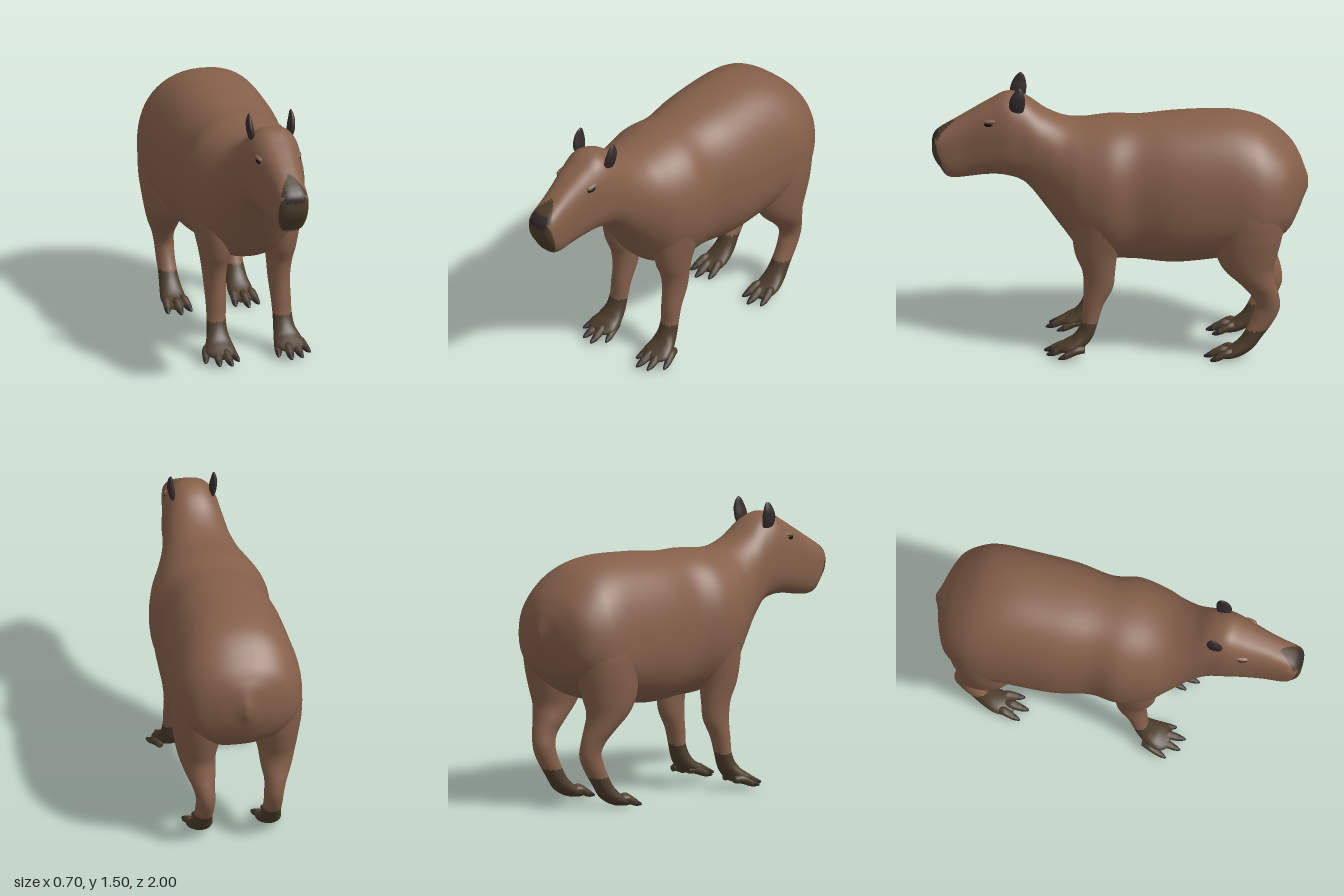
import * as THREE from 'three';

const mat = (name, color) => Object.assign(new THREE.MeshStandardMaterial({ color }), { name });

// Smooth interpolation through rows of numbers
function refine(rows, steps) {
  const out = [], n = rows.length - 1;
  for (let i = 0; i < n; i++) {
    const [a, b, c, d] = [rows[Math.max(i - 1, 0)], rows[i], rows[i + 1], rows[Math.min(i + 2, n)]];
    for (let k = 0; k < steps; k++) {
      const t = k / steps;
      out.push(b.map((p, j) => p + 0.5 * t * (c[j] - a[j] +
        t * (2 * a[j] - 5 * p + 4 * c[j] - d[j] + t * (3 * (p - c[j]) + d[j] - a[j])))));
    }
  }
  out.push(rows[n]);
  return out;
}

// Closed skin over a list of rings; pick(x, y, z) chooses the material of each face
function loft(rings, materials, pick = () => 0) {
  const n = rings[0].length, pts = rings.flat(), sets = materials.map(() => []);
  const add = (...f) => {
    const m = [0, 1, 2].map(k => f.reduce((s, i) => s + pts[i][k], 0) / 3);
    sets[pick(...m)].push(...f);
  };
  const centre = ring => [0, 1, 2].map(k => ring.reduce((s, p) => s + p[k], 0) / n);
  const last = (rings.length - 1) * n;
  pts.push(centre(rings[0]), centre(rings[rings.length - 1]));
  for (let j = 0; j < n; j++) {
    const k = (j + 1) % n;
    add(pts.length - 2, k, j);
    add(pts.length - 1, last + j, last + k);
    for (let i = 0; i < last; i += n) {
      add(i + j, i + k, i + n + j);
      add(i + k, i + n + k, i + n + j);
    }
  }
  const g = new THREE.BufferGeometry();
  g.setAttribute('position', new THREE.Float32BufferAttribute(pts.flat(), 3));
  g.setIndex(sets.flat());
  let start = 0;
  sets.forEach((s, i) => { g.addGroup(start, s.length, i); start += s.length; });
  g.computeVertexNormals();
  return new THREE.Mesh(g, materials);
}

// Elliptical limb; rows are [y, x, z, radiusX, radiusZ, tilt in degrees], running downward or forward
function limb(side, rows, materials, pick, segs = 24) {
  const rings = refine(rows, 5).map(([y, x, z, rx, rz, tilt]) => {
    const a = THREE.MathUtils.degToRad(tilt);
    return Array.from({ length: segs }, (_, j) => {
      const t = j / segs * Math.PI * 2, s = Math.sin(t) * rz;
      return [side * x + rx * Math.cos(t), y + s * Math.sin(a), z + s * Math.cos(a)];
    });
  });
  return loft(rings, materials, pick);
}

// Body and head stations: [z, bottom, top, half width, height of widest point, roundness]
const BODY = [
  [-1, 0.92, 0.98, 0.012, 0.95, 1], [-0.975, 0.86, 1.05, 0.07, 0.95, 0.95],
  [-0.95, 0.8, 1.1, 0.16, 0.94, 0.9], [-0.9, 0.71, 1.17, 0.265, 0.92, 0.87],
  [-0.8, 0.63, 1.26, 0.33, 0.89, 0.87], [-0.7, 0.58, 1.31, 0.35, 0.87, 0.87],
  [-0.55, 0.55, 1.335, 0.345, 0.87, 0.87], [-0.3, 0.515, 1.325, 0.335, 0.88, 0.87],
  [-0.1, 0.525, 1.305, 0.302, 0.9, 0.88], [0.05, 0.535, 1.303, 0.325, 0.92, 0.9],
  [0.2, 0.57, 1.288, 0.295, 0.94, 0.93], [0.3, 0.685, 1.3, 0.245, 0.99, 0.95],
  [0.4, 0.82, 1.345, 0.195, 1.07, 0.92], [0.5, 0.945, 1.415, 0.167, 1.14, 0.85],
  [0.6, 0.985, 1.44, 0.154, 1.17, 0.8], [0.7, 0.988, 1.39, 0.13, 1.16, 0.76],
  [0.8, 0.972, 1.33, 0.106, 1.14, 0.74], [0.88, 0.962, 1.28, 0.094, 1.12, 0.72],
  [0.925, 0.975, 1.252, 0.09, 1.12, 0.72], [0.955, 1.02, 1.232, 0.085, 1.13, 0.72],
  [0.98, 1.055, 1.21, 0.076, 1.14, 0.75], [0.995, 1.09, 1.188, 0.055, 1.14, 0.8],
  [1, 1.12, 1.165, 0.025, 1.14, 0.9],
];
const FRONT_LEG = [
  [1.1, 0.19, 0.06, 0.08, 0.1, 0], [0.95, 0.2, 0.07, 0.12, 0.16, 0], [0.75, 0.19, 0.1, 0.105, 0.15, 0],
  [0.6, 0.182, 0.12, 0.085, 0.115, 0], [0.5, 0.18, 0.108, 0.068, 0.088, 0], [0.4, 0.178, 0.11, 0.058, 0.078, 0],
  [0.3, 0.18, 0.138, 0.054, 0.055, 0], [0.21, 0.183, 0.155, 0.052, 0.043, 10], [0.14, 0.185, 0.18, 0.058, 0.045, 35],
  [0.09, 0.19, 0.225, 0.075, 0.042, 65], [0.07, 0.192, 0.28, 0.08, 0.03, 85], [0.06, 0.192, 0.32, 0.05, 0.018, 90],
];
const HIND_LEG = [
  [1.05, 0.18, -0.68, 0.1, 0.16, 0], [0.9, 0.2, -0.69, 0.145, 0.2, 0], [0.75, 0.207, -0.69, 0.142, 0.185, 0],
  [0.62, 0.213, -0.68, 0.12, 0.165, 0], [0.53, 0.215, -0.69, 0.1, 0.13, 0], [0.45, 0.205, -0.735, 0.082, 0.095, 0],
  [0.38, 0.195, -0.775, 0.06, 0.075, 0], [0.31, 0.185, -0.79, 0.052, 0.066, 10], [0.24, 0.185, -0.765, 0.05, 0.058, 30],
  [0.17, 0.185, -0.725, 0.05, 0.05, 40], [0.1, 0.185, -0.68, 0.058, 0.045, 50], [0.055, 0.187, -0.62, 0.068, 0.036, 70],
  [0.035, 0.187, -0.56, 0.06, 0.025, 88], [0.03, 0.187, -0.53, 0.035, 0.015, 90],
];
const EAR = [
  [1.51, 0.116, 0.532, 0.003, 0.005, 0], [1.495, 0.117, 0.535, 0.009, 0.02, 0], [1.46, 0.118, 0.54, 0.016, 0.036, 0],
  [1.42, 0.113, 0.545, 0.019, 0.043, 0], [1.38, 0.107, 0.545, 0.015, 0.036, 0], [1.35, 0.1, 0.545, 0.008, 0.02, 0],
];

export function createModel() {
  const model = new THREE.Group();
  const fur = mat('brown fur', 0x85604a), paw = mat('dark olive paw', 0x4c3d2c);
  const dark = mat('dark skin', 0x352b2b), black = mat('eye black', 0x17120f);
  const add = (name, mesh) => { mesh.name = name; model.add(mesh); return mesh; };
  const ball = (name, m, pos, size) => {
    const b = add(name, new THREE.Mesh(new THREE.SphereGeometry(1, 20, 14), m));
    b.position.set(...pos);
    b.scale.set(...size);
    return b;
  };

  // Torso, neck and head in one skin, with a dark muzzle and nose
  const SEGS = 56;
  const rings = refine(BODY, 6).map(([z, bottom, top, w, mid, e]) =>
    Array.from({ length: SEGS }, (_, j) => {
      const t = j / SEGS * Math.PI * 2, c = Math.cos(t), s = Math.sin(t);
      const p = v => Math.sign(v) * Math.abs(v) ** e;
      return [w * p(c), mid + p(s) * (s > 0 ? top - mid : mid - bottom), z];
    }));
  add('bodyAndHead', loft(rings, [fur, paw, dark], (x, y, z) => {
    const ax = Math.abs(x);
    if (z > 0.962 && y > 1.155 && y < 1.222 && ax < 0.055) return 2;
    if (y > 1.19 && z > 0.87 && ax < (z - 0.87) * 0.75) return 1;
    return y > 0.985 && y < 1.22 && z > 0.93 + (y - 1) * 0.3 ? 1 : 0;
  }));

  for (const side of [1, -1]) {
    const s = side > 0 ? 'left' : 'right';

    // Legs with dark feet
    add(s + 'FrontLeg', limb(side, FRONT_LEG, [fur, paw], (x, y) => (y < 0.21 ? 1 : 0)));
    add(s + 'HindLeg', limb(side, HIND_LEG, [fur, paw], (x, y) => (y < 0.18 ? 1 : 0)));

    // Splayed toes ending in dark claws
    const toe = (name, x0, x1, z0, z1, y) => {
      const at = (t, h, r) => [y + h, x0 + (x1 - x0) * t, z0 + (z1 - z0) * t, r, r, 90];
      const tip = z0 + (z1 - z0) * 0.72;
      add(name, limb(side, [at(0, 0.03, 0.018), at(0.3, 0.03, 0.024), at(0.6, 0.012, 0.021),
        at(0.78, 0.002, 0.016), at(0.95, -0.004, 0.008), at(1, -0.006, 0.002)],
      [paw, dark], (x, yy, z) => (z > tip ? 1 : 0), 12));
    };
    [[-0.08, 0.34], [-0.025, 0.4], [0.04, 0.385], [0.1, 0.32]].forEach(([dx, z], i) =>
      toe(`${s}FrontToe${i + 1}`, 0.19 + dx * 0.55, 0.19 + dx, z - 0.14, z, 0.038));
    [[-0.065, -0.485], [0, -0.45], [0.065, -0.485]].forEach(([dx, z], i) =>
      toe(`${s}HindToe${i + 1}`, 0.187 + dx * 0.6, 0.187 + dx, z - 0.13, z, 0.023));

    // Ears, eyes with lids, nostrils
    add(s + 'Ear', limb(side, EAR, [dark], undefined, 16));
    ball(s + 'Eye', black, [side * 0.107, 1.3, 0.685], [0.017, 0.016, 0.036]).rotation.x = 0.12;
    ball(s + 'Eyelid', fur, [side * 0.105, 1.317, 0.682], [0.02, 0.012, 0.044]).rotation.x = 0.12;
    ball(s + 'Nostril', dark, [side * 0.048, 1.175, 0.978], [0.018, 0.016, 0.014]);
  }
  return model;
}
